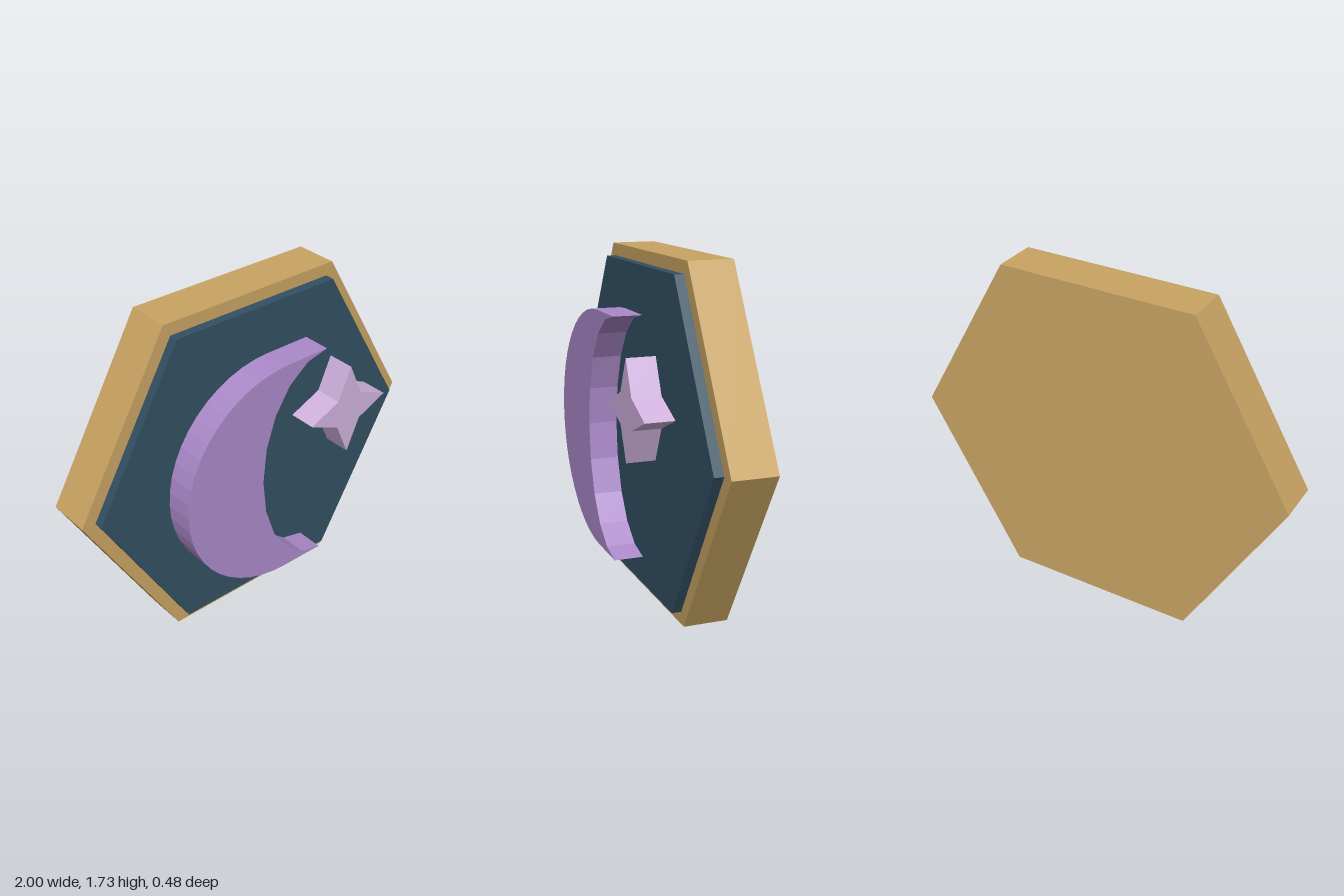
import * as THREE from 'three';

const CENTER_Y = 0.866;

const material = (name, color) => {
  const m = new THREE.MeshStandardMaterial({ color });
  m.name = name;
  return m;
};

// Points on an elliptical arc, angles in units of pi
function arc(cx, cy, rx, ry, from, to, steps) {
  return Array.from({ length: steps + 1 }, (_, i) => {
    const a = Math.PI * (from + ((to - from) * i) / steps);
    return new THREE.Vector2(cx + rx * Math.cos(a), cy + ry * Math.sin(a));
  });
}

// Flat plate with the given outline between two depths
function plate(name, points, z0, z1, mat) {
  const geometry = new THREE.ExtrudeGeometry(new THREE.Shape(points), {
    depth: z1 - z0,
    bevelEnabled: false,
  });
  geometry.translate(0, CENTER_Y, z0);
  const mesh = new THREE.Mesh(geometry, mat);
  mesh.name = name;
  return mesh;
}

export function createModel() {
  const gold = material('gold', 0xc9a463);
  const navy = material('navy', 0x335063);
  const purple = material('purple', 0xab89c9);
  const lilac = material('lilac', 0xd0b2de);

  const group = new THREE.Group();
  group.name = 'moonBadge';

  // Hexagonal base and the smaller panel in front of it
  const hexagon = (r) => arc(0, 0, r, r, 0, 2, 6).slice(0, 6);
  group.add(plate('base', hexagon(1), -0.24, -0.016, gold));
  group.add(plate('panel', hexagon(0.928), -0.016, 0.032, navy));

  // Crescent: round outer edge, straight tips, elliptical inner edge
  const crescent = [
    ...arc(0, 0.003, 0.593, 0.593, 0.5, 1.5, 24),
    ...arc(0.24, 0.003, 0.385, 0.593, 1.5, 0.5, 10),
  ];
  group.add(plate('crescent', crescent, 0.096, 0.24, purple));

  // Four-pointed star
  const star = Array.from({ length: 8 }, (_, i) => {
    const r = i % 2 ? 0.106 : 0.245;
    const a = (i * Math.PI) / 4;
    return new THREE.Vector2(0.408 + r * Math.cos(a), 0.189 + r * Math.sin(a));
  });
  group.add(plate('star', star, 0.096, 0.24, lilac));

  return group;
}
